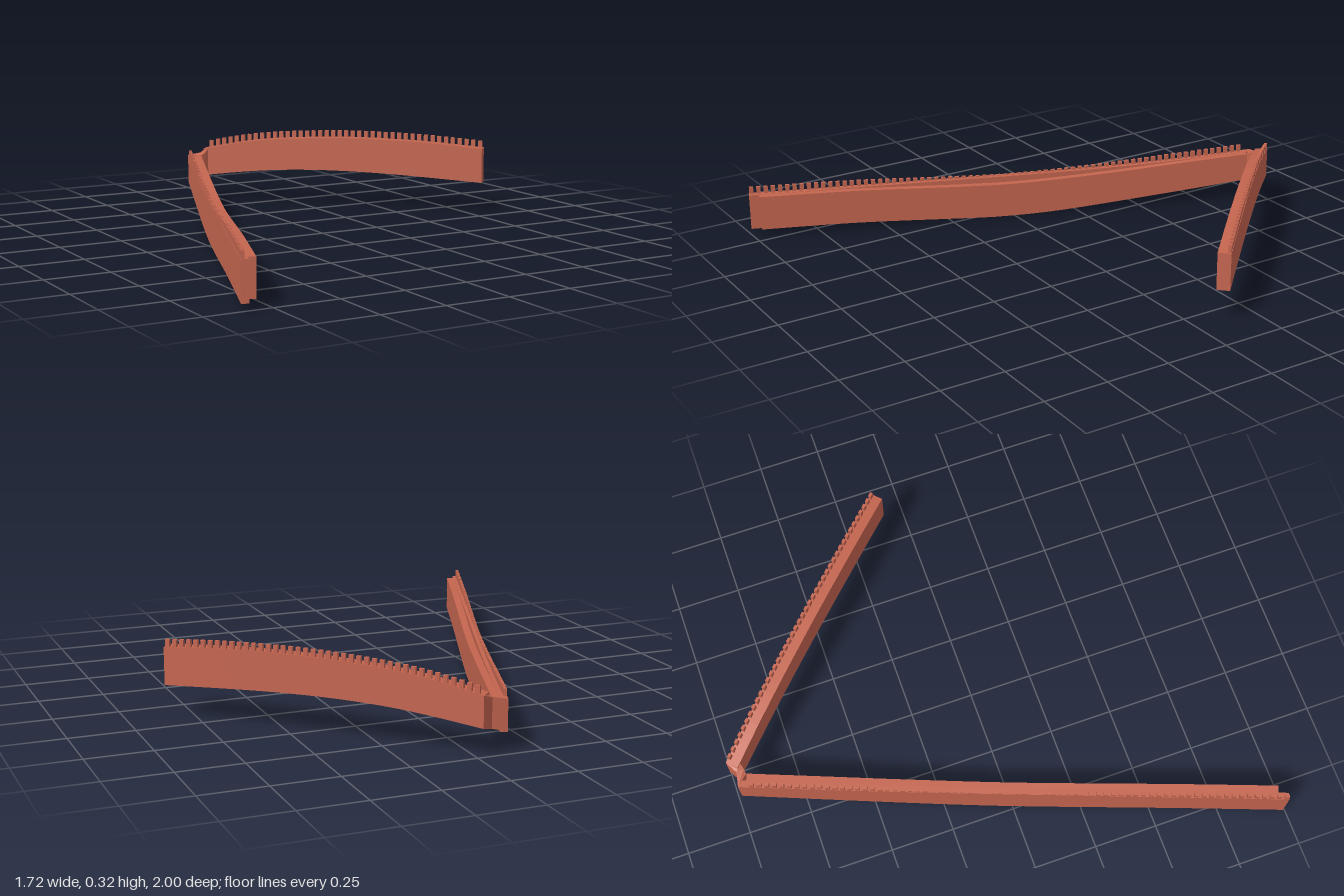
import * as THREE from 'three';
import { mergeGeometries } from 'three/addons/utils/BufferGeometryUtils.js';

const brick = new THREE.MeshStandardMaterial({ color: 0xc4654f });
brick.name = 'brick red';

// Smooth height curve through [t, y] points
function heightCurve(points) {
  const curve = new THREE.SplineCurve(points.map(([t, y]) => new THREE.Vector2(t, y)));
  const samples = curve.getPoints(80);
  return (t) => {
    let i = 1;
    while (i < samples.length - 1 && samples[i].x < t) i++;
    const a = samples[i - 1], b = samples[i];
    return a.y + (b.y - a.y) * THREE.MathUtils.clamp((t - a.x) / (b.x - a.x), 0, 1);
  };
}

// Solid wall lofted through sections: { o: outer [x, z], i: inner [x, z], top, bottom }
function loft(name, sections) {
  const rings = sections.map(({ o, i, top, bottom }) => [
    [o[0], bottom, o[1]], [o[0], top, o[1]], [i[0], top, i[1]], [i[0], bottom, i[1]],
  ]);
  const pos = [];
  const quad = (a, b, c, d) => pos.push(...a, ...b, ...c, ...a, ...c, ...d);
  for (let s = 0; s < rings.length - 1; s++) {
    const a = rings[s], b = rings[s + 1];
    for (let k = 0; k < 4; k++) {
      const n = (k + 1) % 4;
      quad(a[k], a[n], b[n], b[k]);
    }
  }
  const first = rings[0], last = rings[rings.length - 1];
  quad(first[3], first[2], first[1], first[0]);
  quad(last[0], last[1], last[2], last[3]);
  const g = new THREE.BufferGeometry();
  g.setAttribute('position', new THREE.Float32BufferAttribute(pos, 3));
  g.computeVertexNormals();
  const mesh = new THREE.Mesh(g, brick);
  mesh.name = name;
  return mesh;
}

// Straight run in plan from start to end; the inner side lies to the right of travel
function makeRun(start, end) {
  const dx = end[0] - start[0], dz = end[1] - start[1];
  const length = Math.hypot(dx, dz);
  const d = [dx / length, dz / length];
  const at = (t, off) => [start[0] + dx * t - d[1] * off, start[1] + dz * t + d[0] * off];
  return { length, at, angle: Math.atan2(-dz, dx) };
}

function wallStrip(name, run, off0, off1, t0, t1, top, bottom) {
  const sections = [];
  for (let s = 0; s <= 28; s++) {
    const t = t0 + (t1 - t0) * s / 28;
    sections.push({ o: run.at(t, off0), i: run.at(t, off1), top: top(t), bottom: bottom(t) });
  }
  return loft(name, sections);
}

// Row of small upright teeth along the outer edge
function merlons(name, run, count, t0, t1, top) {
  const parts = [];
  for (let n = 0; n < count; n++) {
    const t = t0 + (t1 - t0) * n / (count - 1);
    const [x, z] = run.at(t, 0.007);
    const g = new THREE.BoxGeometry(0.017, 0.05, 0.012);
    g.rotateY(run.angle);
    g.translate(x, top(t) + 0.003, z);
    parts.push(g);
  }
  const mesh = new THREE.Mesh(mergeGeometries(parts), brick);
  mesh.name = name;
  return mesh;
}

export function createModel() {
  const model = new THREE.Group();
  model.name = 'rampart';

  // Long wall: sagging walkway strip beside a flatter parapet strip
  const longWall = new THREE.Group();
  longWall.name = 'longWall';
  const longRun = makeRun([-0.86, 0.988], [-0.12, -0.985]);
  const walkTop = heightCurve([[0, 0.17], [0.2, 0.165], [0.4, 0.148], [0.53, 0.143], [0.7, 0.157], [0.85, 0.177], [1, 0.196]]);
  const walkBottom = heightCurve([[0, 0.03], [0.2, 0.026], [0.4, 0.008], [0.48, 0.002], [0.6, 0.008], [0.8, 0.043], [1, 0.083]]);
  const parapetTop = heightCurve([[0, 0.17], [0.25, 0.169], [0.6, 0.168], [0.8, 0.176], [1, 0.196]]);
  const parapetBottom = heightCurve([[0, 0.025], [0.2, 0.022], [0.45, 0.006], [0.6, 0.01], [0.8, 0.04], [1, 0.078]]);
  longWall.add(
    wallStrip('longWalkway', longRun, 0.027, 0.055, 0.019, 0.986, walkTop, walkBottom),
    wallStrip('longParapet', longRun, 0, 0.027, 0, 1, parapetTop, parapetBottom),
    merlons('longMerlons', longRun, 72, 0.005, 0.975, walkTop),
  );

  // Short wall: gently arched
  const shortWall = new THREE.Group();
  shortWall.name = 'shortWall';
  const shortRun = makeRun([-0.02, -1], [0.855, -0.125]);
  const archTop = heightCurve([[0, 0.222], [0.15, 0.258], [0.3, 0.279], [0.5, 0.291], [0.65, 0.291], [0.82, 0.284], [1, 0.268]]);
  const archBottom = heightCurve([[0, 0.104], [0.15, 0.127], [0.3, 0.143], [0.48, 0.149], [0.7, 0.143], [1, 0.123]]);
  shortWall.add(
    wallStrip('shortWallBody', shortRun, 0, 0.05, 0, 1, archTop, archBottom),
    merlons('shortMerlons', shortRun, 42, 0.02, 0.988, archTop),
  );

  // Bent joint between the two walls
  const joint = loft('cornerJoint', [
    { o: [-0.12, -0.985], i: [-0.079, -0.94], top: 0.196, bottom: 0.08 },
    { o: [-0.065, -0.973], i: [-0.06, -0.943], top: 0.205, bottom: 0.092 },
    { o: [-0.02, -1], i: [-0.038, -0.95], top: 0.222, bottom: 0.104 },
  ]);

  model.add(longWall, shortWall, joint);
  return model;
}
